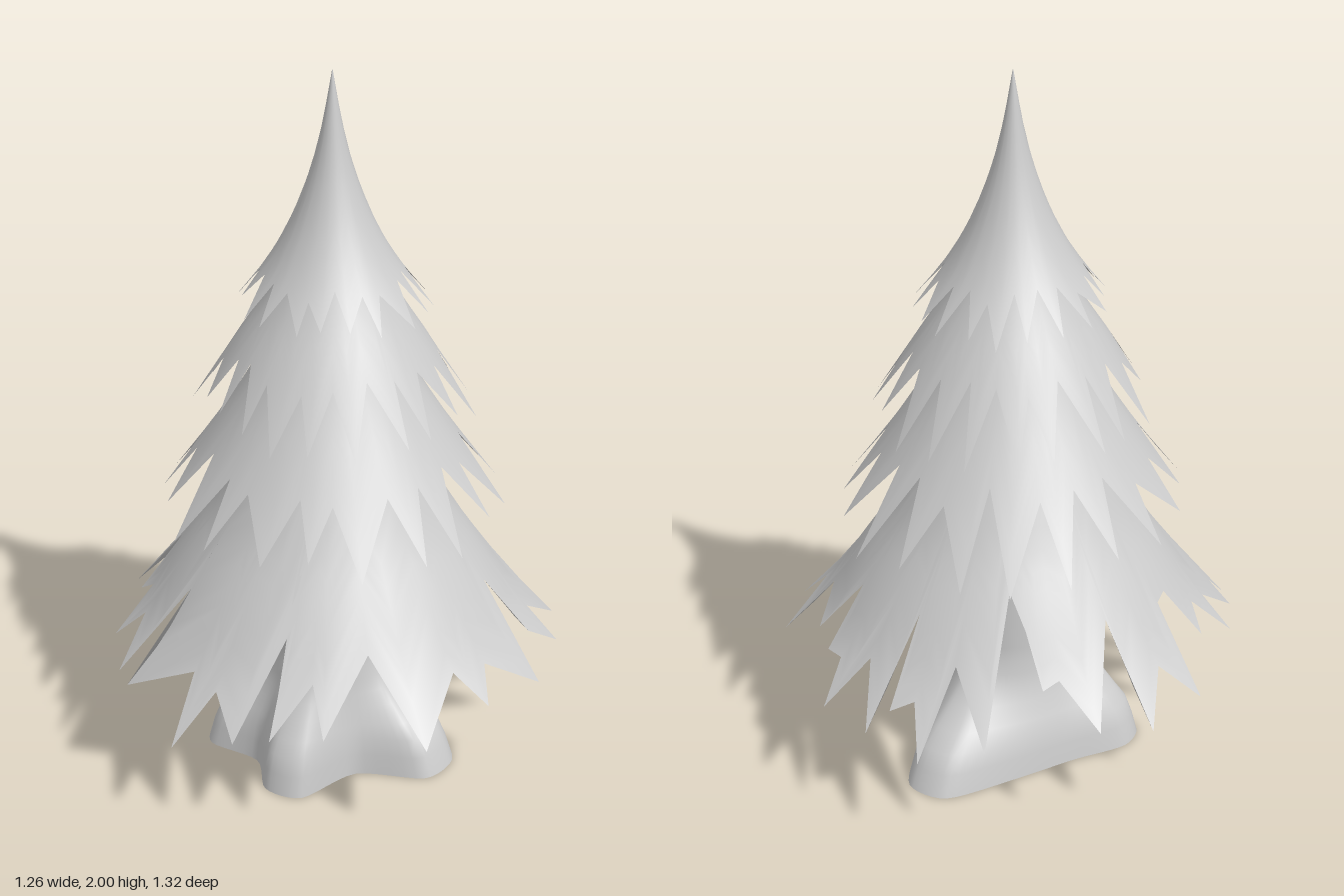
import * as THREE from 'three';

const material = new THREE.MeshStandardMaterial({ color: 0xcccccc, side: THREE.DoubleSide });
const AXIS_Z = -0.02;

// Smooth skin over closed rings of points, listed from top to bottom
function loft(name, rings) {
  const n = rings[0].length;
  const index = [];
  for (let k = 0; k < rings.length - 1; k++) {
    for (let i = 0; i < n; i++) {
      const a = k * n + i, b = k * n + (i + 1) % n;
      index.push(a, a + n, b, b, a + n, b + n);
    }
  }
  const geometry = new THREE.BufferGeometry().setFromPoints(rings.flat());
  geometry.setIndex(index);
  geometry.computeVertexNormals();
  const mesh = new THREE.Mesh(geometry, material);
  mesh.name = name;
  return mesh;
}

// Linear lookup in a list of [key, value] pairs with rising keys
function lookup(table, key) {
  let i = 1;
  while (i < table.length - 1 && table[i][0] < key) i++;
  const [k0, v0] = table[i - 1], [k1, v1] = table[i];
  return v0 + (v1 - v0) * (key - k0) / (k1 - k0);
}

// Skirt of foliage: profile is [radius, height], edge is [angle, radius]
function foliage(name, profile, edge) {
  const rows = 14, r0 = profile[0][0];
  const rings = [], normals = [];
  for (let k = 0; k <= rows; k++) {
    const t = Math.pow(k / rows, 1.3);
    rings.push(edge.map(([a, end]) => {
      const r = r0 + (end - r0) * t;
      // Normals follow the profile, so the skirt shades evenly between its teeth
      const slope = (lookup(profile, r + 0.03) - lookup(profile, r - 0.03)) / 0.06;
      normals.push(new THREE.Vector3(-slope * Math.sin(a), 1, -slope * Math.cos(a)).normalize());
      return new THREE.Vector3(r * Math.sin(a), lookup(profile, r), AXIS_Z + r * Math.cos(a));
    }));
  }
  const mesh = loft(name, rings);
  normals.forEach((n, i) => mesh.geometry.attributes.normal.setXYZ(i, n.x, n.y, n.z));
  return mesh;
}

// Ragged edge alternating between tips and notches, with longer tips at the back
function raggedEdge(teeth, notch, tip, seed) {
  const random = () => (seed = (seed * 16807) % 2147483647) / 2147483647;
  const edge = [];
  for (let i = 0; i < teeth * 2; i++) {
    const a = (i + (random() - 0.5) * 0.8) * Math.PI / teeth;
    const middle = (notch + tip) / 2, half = (tip - notch) / 2;
    const out = half * (0.45 + 0.55 * random());
    edge.push([a, i % 2 ? middle + out - 0.012 * Math.cos(a) : middle - out]);
  }
  return edge;
}

// Outline of the widest skirt, as [x, z] seen from above
const skirtOutline = [
  [-0.075, -0.445], [-0.09, -0.66], [0.02, -0.54], [0.08, -0.66], [0.12, -0.56], [0.185, -0.55],
  [0.17, -0.43], [0.28, -0.5], [0.36, -0.375], [0.465, -0.475], [0.47, -0.31], [0.56, -0.325],
  [0.53, -0.21], [0.425, -0.135], [0.63, -0.1], [0.535, 0.04], [0.595, 0.115], [0.5, 0.145],
  [0.54, 0.34], [0.335, 0.31], [0.32, 0.5], [0.24, 0.43], [0.195, 0.57], [0.15, 0.37],
  [0.105, 0.61], [0, 0.535], [-0.06, 0.66], [-0.09, 0.51], [-0.3, 0.54], [-0.2, 0.36],
  [-0.36, 0.5], [-0.38, 0.35], [-0.47, 0.375], [-0.42, 0.26], [-0.495, 0.22], [-0.42, 0.14],
  [-0.44, 0.095], [-0.62, 0.08], [-0.535, 0], [-0.63, -0.12], [-0.43, -0.1], [-0.565, -0.255],
  [-0.435, -0.28], [-0.42, -0.325], [-0.33, -0.3], [-0.26, -0.29], [-0.395, -0.515],
  [-0.225, -0.455], [-0.265, -0.635], [-0.17, -0.555], [-0.12, -0.6],
];

// Trunk: round above, spreading into root lobes at the ground
function trunk() {
  const roots = [
    [0.375, -0.07], [0.355, 0.04], [0.18, 0.13], [0.12, 0.31], [0.01, 0.33], [-0.09, 0.23],
    [-0.25, 0.23], [-0.295, 0.14], [-0.24, -0.02], [-0.19, -0.2], [-0.12, -0.4], [0, -0.43],
    [0.11, -0.3], [0.18, -0.18], [0.32, -0.14],
  ].reverse().map(([x, z]) => new THREE.Vector3(x, 0, z));
  const outline = new THREE.CatmullRomCurve3(roots, true, 'catmullrom', 0.4).getPoints(90).slice(0, -1);
  const flare = [[0, 1], [0.06, 0.9], [0.11, 0.78], [0.15, 0.58], [0.2, 0.36], [0.24, 0.2], [0.28, 0.1], [0.36, 0]];
  const heights = [0.85, 0.6, 0.36, 0.32, 0.28, 0.24, 0.2, 0.15, 0.11, 0.06, 0];
  return loft('trunk', heights.map((y) => {
    const spread = y > 0.36 ? 0 : lookup(flare, y);
    return outline.map((p) => {
      const a = Math.atan2(p.x, p.z);
      const round = new THREE.Vector3(0.01 + 0.155 * Math.sin(a), 0, 0.175 * Math.cos(a));
      // The roots rise more steeply towards the front
      return round.lerp(p, Math.pow(spread, 1 - 0.3 * Math.max(0, Math.cos(a)))).setY(y);
    });
  }));
}

export function createModel() {
  const tree = new THREE.Group();
  tree.name = 'tree';
  const skirtEdge = skirtOutline.map(([x, z]) => [Math.atan2(x, z - AXIS_Z), Math.hypot(x, z - AXIS_Z)]).reverse();

  tree.add(
    trunk(),
    foliage('bottomFoliage', [[0.13, 1.16], [0.18, 1.04], [0.25, 0.9], [0.32, 0.765], [0.42, 0.62], [0.52, 0.465], [0.66, 0.32]], skirtEdge),
    foliage('lowerFoliage', [[0.11, 1.4], [0.14, 1.32], [0.2, 1.2], [0.25, 1.11], [0.34, 0.97], [0.4, 0.88], [0.5, 0.75]],
      raggedEdge(20, 0.335, 0.5, 71)),
    foliage('upperFoliage', [[0.08, 1.58], [0.14, 1.45], [0.19, 1.36], [0.25, 1.27], [0.31, 1.17], [0.4, 1.03]],
      raggedEdge(20, 0.255, 0.39, 1234)),
    foliage('topFoliage', [[0.001, 2], [0.018, 1.9], [0.033, 1.82], [0.055, 1.74], [0.085, 1.65], [0.12, 1.57], [0.17, 1.48], [0.22, 1.41], [0.28, 1.34]],
      raggedEdge(19, 0.175, 0.275, 4321)),
  );
  return tree;
}
